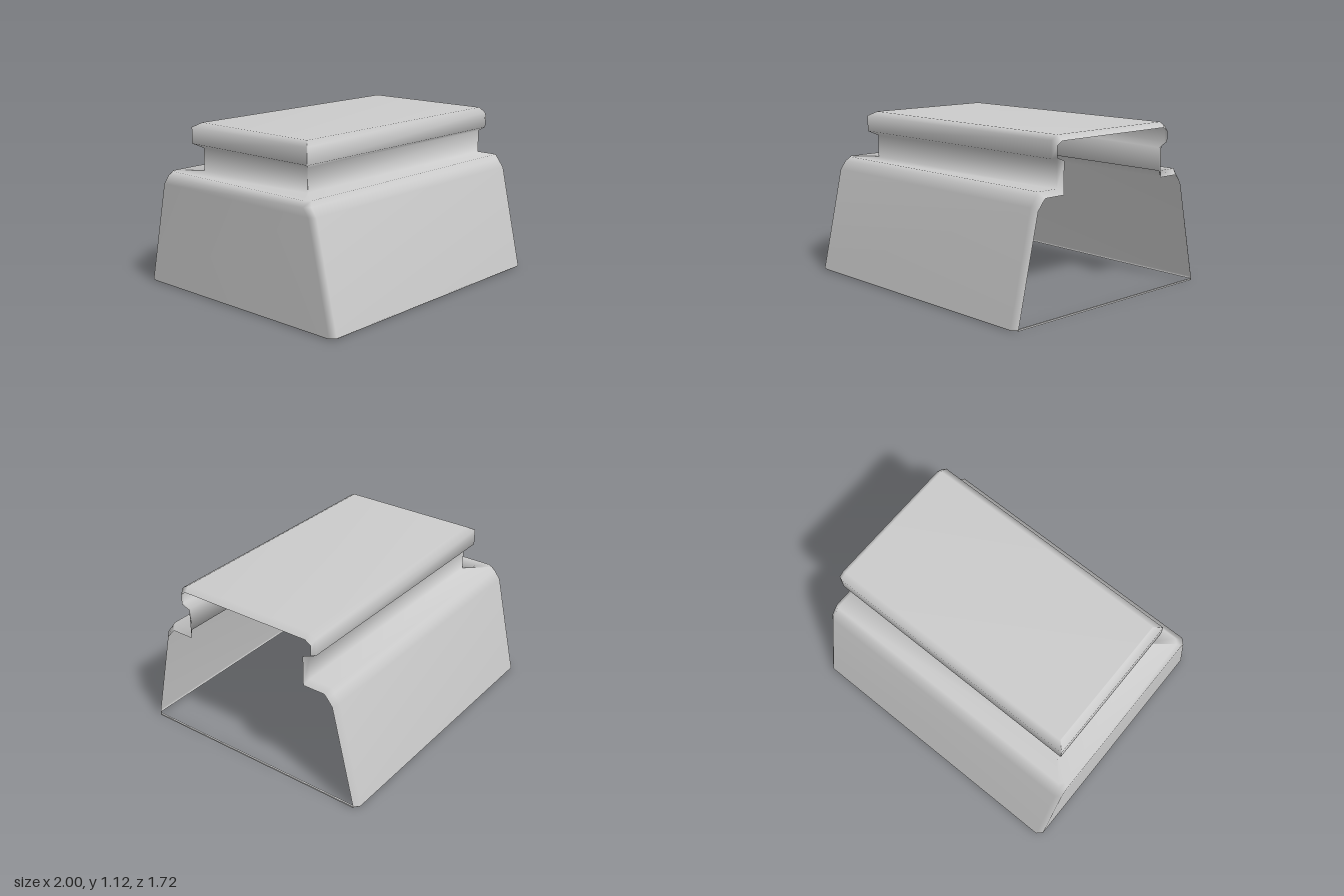
import * as THREE from 'three';

// Height levels of the shell: outer [y, half depth], closed-end x, corner cut,
// then the turned-in lip at the open end [y, half depth]
const LEVELS = [
  [0.00, 0.85, -0.99, 0.035, 0.00, 0.815],
  [0.012, 0.86, -1.00, 0.035, 0.012, 0.825],
  [0.71, 0.70, -1.00, 0.035, 0.69, 0.67],
  [0.765, 0.658, -1.00, 0.035, 0.74, 0.63],
  [0.797, 0.635, -0.97, 0.03, 0.76, 0.61],
  [0.797, 0.48, -0.81, 0.004, 0.76, 0.455],
  [0.95, 0.48, -0.81, 0.004, 0.965, 0.455],
  [0.98, 0.53, -0.865, 0.004, 0.99, 0.515],
  [1.09, 0.53, -0.865, 0.004, 1.06, 0.515],
  [1.12, 0.48, -0.815, 0.004, 1.085, 0.475],
];

function shellGeometry() {
  const positions = [];
  const index = [];
  const quad = (a, b, c, d) => index.push(d, c, b, d, b, a);

  // Each level is a U-shaped row running from the open end round the closed end
  for (const [y, z, xl, cut, lipY, lipZ] of LEVELS) {
    const half = [[1, lipY, lipZ], [0.965, y, z], [xl + cut, y, z], [xl, y, z - cut]];
    const mirrored = half.map(([px, py, pz]) => [px, py, -pz]).reverse();
    positions.push(...[...half, ...mirrored].flat());
  }
  const n = 8;
  for (let i = 0; i < LEVELS.length - 1; i++) {
    for (let j = 0; j < n - 1; j++) {
      const a = i * n + j;
      quad(a, a + 1, a + n + 1, a + n);
    }
  }
  // Flat top joining the two long sides
  const top = (LEVELS.length - 1) * n;
  for (let j = 0; j < 3; j++) quad(top + j, top + j + 1, top + n - 2 - j, top + n - 1 - j);

  const geometry = new THREE.BufferGeometry();
  geometry.setAttribute('position', new THREE.Float32BufferAttribute(positions, 3));
  geometry.setIndex(index);
  geometry.computeVertexNormals();
  return geometry;
}

export function createModel() {
  const group = new THREE.Group();
  group.name = 'steppedCover';
  const material = new THREE.MeshStandardMaterial({ color: 0xcccccc, side: THREE.DoubleSide });

  // Hollow cover, open below and at the +x end
  const shell = new THREE.Mesh(shellGeometry(), material);
  shell.name = 'coverShell';
  group.add(shell);

  // Thin sill across the foot of the open end
  const sill = new THREE.Mesh(new THREE.BoxGeometry(0.012, 0.01, 1.65), material);
  sill.name = 'openEndSill';
  sill.position.set(0.993, 0.005, 0);
  group.add(sill);

  return group;
}
